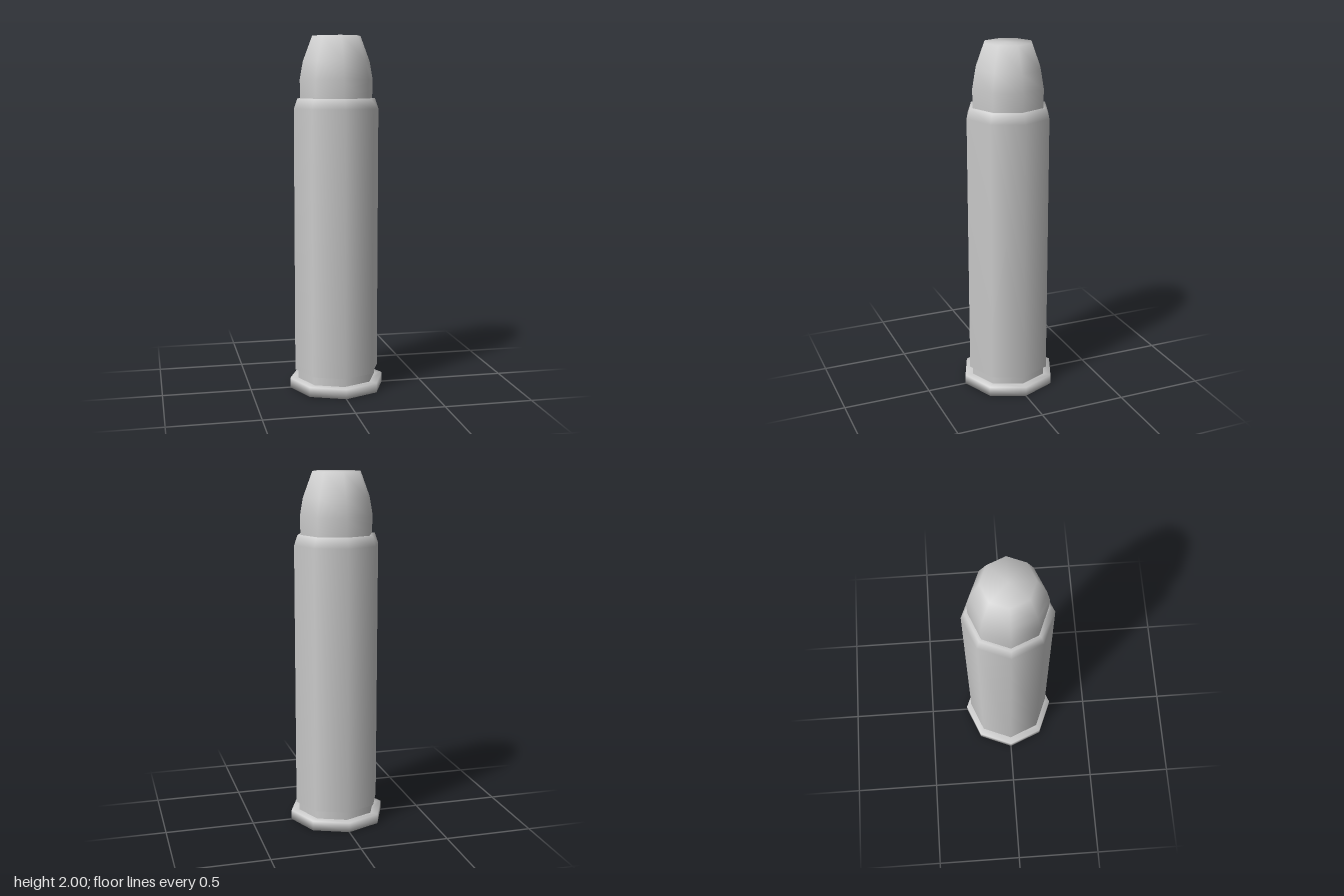
import * as THREE from 'three';

const SIDES = 8;

// Closed, smooth-shaded eight-sided turning from [radius, y] pairs, bottom to top
function turned(name, profile) {
  const points = profile.map(([r, y]) => new THREE.Vector2(r, y));
  const mesh = new THREE.Mesh(
    new THREE.LatheGeometry(points, SIDES),
    new THREE.MeshStandardMaterial({ color: 0xcccccc })
  );
  mesh.name = name;
  return mesh;
}

export function createModel() {
  const group = new THREE.Group();
  group.name = 'cartridge';

  // Flanged base with a flat underside
  group.add(turned('rim', [[0, 0], [0.272, 0], [0.272, 0.055], [0.21, 0.055]]));

  // Narrow groove between rim and case
  group.add(turned('extractorGroove', [[0.225, 0.05], [0.225, 0.11]]));

  // Long case, chamfered in at the mouth
  group.add(turned('case', [
    [0.21, 0.105], [0.242, 0.105], [0.242, 1.6], [0.222, 1.657], [0.195, 1.657],
  ]));

  // Rounded, flat-nosed bullet seated in the mouth
  group.add(turned('bullet', [
    [0.205, 1.64], [0.208, 1.76], [0.19, 1.86], [0.137, 2], [0, 2],
  ]));

  return group;
}
